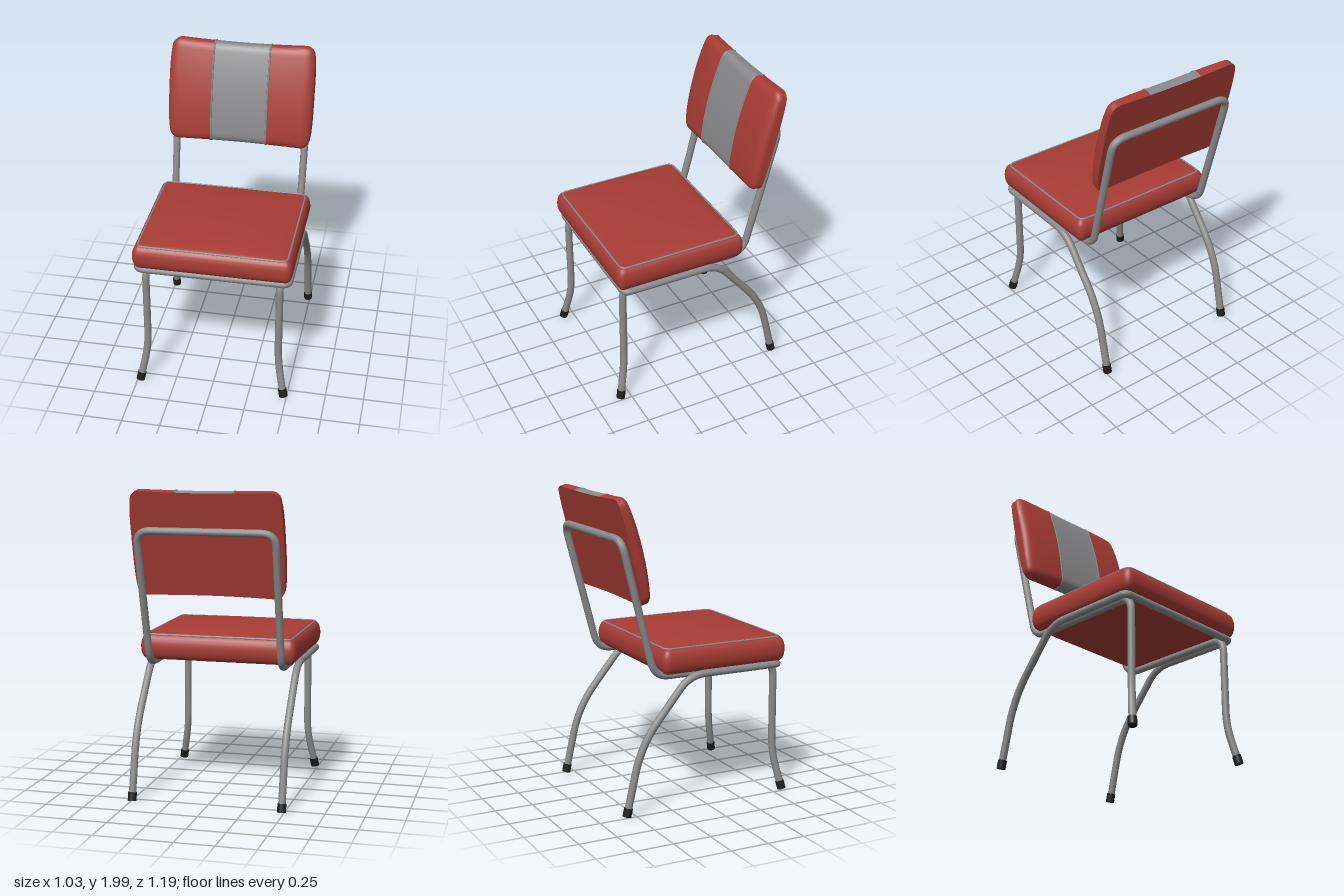
import * as THREE from 'three';
import { toCreasedNormals } from 'three/addons/utils/BufferGeometryUtils.js';

const mat = (name, color) => Object.assign(new THREE.MeshStandardMaterial({ color }), { name });
const V = (x, y, z) => new THREE.Vector3(x, y, z);

// Smooth tube path: straight runs with each corner eased over a given trim length
function easedPath(points, trims, closed = false) {
  const path = new THREE.CurvePath();
  const n = points.length;
  const toward = (a, b, d) => a.clone().add(b.clone().sub(a).setLength(d));
  let last = closed ? toward(points[0], points[1], trims[0]) : points[0];
  for (let k = 1; k < (closed ? n + 1 : n - 1); k++) {
    const p = points[k % n], trim = trims[k % n];
    const a = toward(p, points[k - 1], trim);
    const b = toward(p, points[(k + 1) % n], trim);
    path.add(new THREE.LineCurve3(last, a));
    path.add(new THREE.QuadraticBezierCurve3(a, p, b));
    last = b;
  }
  if (!closed) path.add(new THREE.LineCurve3(last, points[n - 1]));
  return path;
}

// One half of a symmetric path followed by its mirror image
const mirrored = (half) => [...half, ...half.map((p) => V(-p.x, p.y, p.z)).reverse()];

// Rounded box: radii per axis, optional flat back (no rounding toward -z), then a warp rule
function cushion(size, segs, radii, flatBack, warp) {
  const geo = new THREE.BoxGeometry(...size, ...segs);
  geo.clearGroups();
  const pos = geo.attributes.position;
  for (let i = 0; i < pos.count; i++) {
    const p = [pos.getX(i), pos.getY(i), pos.getZ(i)];
    const q = p.map((v, k) => {
      const m = size[k] / 2 - radii[k];
      return flatBack && k === 2 ? Math.min(v, m) : THREE.MathUtils.clamp(v, -m, m);
    });
    const d = p.map((v, k) => (v - q[k]) / radii[k]);
    const len = Math.hypot(...d);
    const f = len > 1e-6 ? Math.max(...d.map(Math.abs)) / len : 0;
    const w = warp(...q.map((v, k) => v + d[k] * radii[k] * f));
    pos.setXYZ(i, ...w);
  }
  return geo;
}

export function createModel() {
  const red = mat('redVinyl', 0xa83c35);
  const grey = mat('greyMetal', 0x8a8a8c);
  const black = mat('blackRubber', 0x1c1c1c);
  const model = new THREE.Group();
  model.name = 'chair';

  const add = (parent, name, geo, material) => {
    const mesh = new THREE.Mesh(geo, material);
    mesh.name = name;
    parent.add(mesh);
    return mesh;
  };
  const tube = (parent, name, path, radius, steps, sides, closed = false) =>
    add(parent, name, new THREE.TubeGeometry(path, steps, radius, sides, closed), grey);

  // Front legs, inner seat rails and back hoop in one bent tube
  const frontHalf = [
    V(0.48, 0.01, 0.572), V(0.432, 0.26, 0.52), V(0.432, 0.865, 0.52),
    V(0.432, 0.865, -0.338), V(0.44, 1.735, -0.561),
  ];
  const frontTrims = [0, 0.11, 0.09, 0.1, 0.09];
  tube(model, 'frontLegsAndBackHoop',
    easedPath(mirrored(frontHalf), [...frontTrims, ...[...frontTrims].reverse()]), 0.024, 300, 12);

  // Rear legs, outer seat rails and front crossbar in one bent tube
  const rearHalf = [
    V(0.488, 0.01, -0.562), V(0.488, 0.455, -0.46), V(0.488, 0.865, -0.122), V(0.488, 0.865, 0.53),
  ];
  const rearTrims = [0, 0.18, 0.11, 0.04];
  tube(model, 'rearLegsAndSeatRails',
    easedPath(mirrored(rearHalf), [...rearTrims, ...[...rearTrims].reverse()]), 0.024, 300, 12);

  // Rubber feet aligned with the leg ends
  for (const [name, half] of [['frontFoot', frontHalf], ['rearFoot', rearHalf]]) {
    for (const side of [1, -1]) {
      const end = half[0].clone(), dir = half[1].clone().sub(half[0]).normalize();
      end.x *= side;
      dir.x *= side;
      const foot = add(model, name, new THREE.CylinderGeometry(0.028, 0.028, 0.056, 14), black);
      foot.position.copy(end).addScaledVector(dir, 0.026);
      foot.quaternion.setFromUnitVectors(V(0, 1, 0), dir);
    }
  }

  // Seat cushion with a gently domed top
  const seat = new THREE.Group();
  seat.name = 'seat';
  seat.position.set(0, 0.9625, 0.1325);
  model.add(seat);
  const seatGeo = cushion([1.025, 0.165, 0.885], [72, 14, 64], [0.045, 0.08, 0.045], false, (x, y, z) => {
    const dome = Math.max(0, 1 - (x / 0.48) ** 2) * Math.max(0, 1 - (z / 0.41) ** 2);
    return [x, y > 0.03 ? y + 0.036 * Math.sqrt(dome) * dome ** 0.2 : y, z];
  });
  add(seat, 'seatCushion', toCreasedNormals(seatGeo, 0.9), red);

  // Piping round the top of the seat
  const rim = [V(0.478, 0.08, 0.41), V(0.478, 0.08, -0.413), V(-0.478, 0.08, -0.413), V(-0.478, 0.08, 0.41)];
  tube(seat, 'seatPiping', easedPath(rim, [0.045, 0.045, 0.045, 0.045], true), 0.007, 240, 6, true);

  // Backrest: flat rear, bowed front, sides swelling at mid height
  const back = new THREE.Group();
  back.name = 'backrest';
  back.position.set(0, 1.65, -0.5125);
  back.rotation.x = -0.245;
  model.add(back);
  const W = 0.92, H = 0.685, D = 0.08;
  const backWarp = (x, y, z) => {
    const s = x / (W / 2), v = y / (H / 2), t = z / D + 0.5;
    return [
      x * (1 + 0.05 * (1 - v ** 4) * s * s),
      y * (1 - 0.035 * (1 - s * s)),
      t * (D + 0.028 * (1 - v * v) - 0.018 * s ** 4),
    ];
  };
  const backGeo = cushion([W, H, D], [60, 44, 8], [0.05, 0.05, 0.032], true, backWarp);

  // Grey centre panel wraps the front, top and bottom; the rear stays red
  const p = backGeo.attributes.position, idx = backGeo.index.array;
  const redFaces = [], greyFaces = [];
  for (let i = 0; i < idx.length; i += 3) {
    const tri = [idx[i], idx[i + 1], idx[i + 2]];
    const cx = tri.reduce((sum, k) => sum + p.getX(k), 0) / 3;
    const rear = tri.every((k) => p.getZ(k) < 1e-4);
    (Math.abs(cx) < 0.185 && !rear ? greyFaces : redFaces).push(...tri);
  }
  backGeo.setIndex([...redFaces, ...greyFaces]);
  backGeo.addGroup(0, redFaces.length, 0);
  backGeo.addGroup(redFaces.length, greyFaces.length, 1);
  add(back, 'backCushion', toCreasedNormals(backGeo, 0.9), [red, grey]);

  // Piping along both edges of the centre panel
  for (const side of [1, -1]) {
    const x = side * 0.4 * W / 2, h = H / 2, f = D / 2;
    const pts = [V(x, -h, -f), V(x, -h, f - 0.032), V(x, -h + 0.015, f - 0.01)];
    for (let k = -6; k <= 6; k++) pts.push(V(x, (k / 6) * (h - 0.05), f));
    pts.push(V(x, h - 0.015, f - 0.01), V(x, h, f - 0.032), V(x, h, -f));
    const path = new THREE.CatmullRomCurve3(pts.map((q) => V(...backWarp(q.x, q.y, q.z))));
    tube(back, 'backPiping', path, 0.006, 80, 6);
  }
  return model;
}
